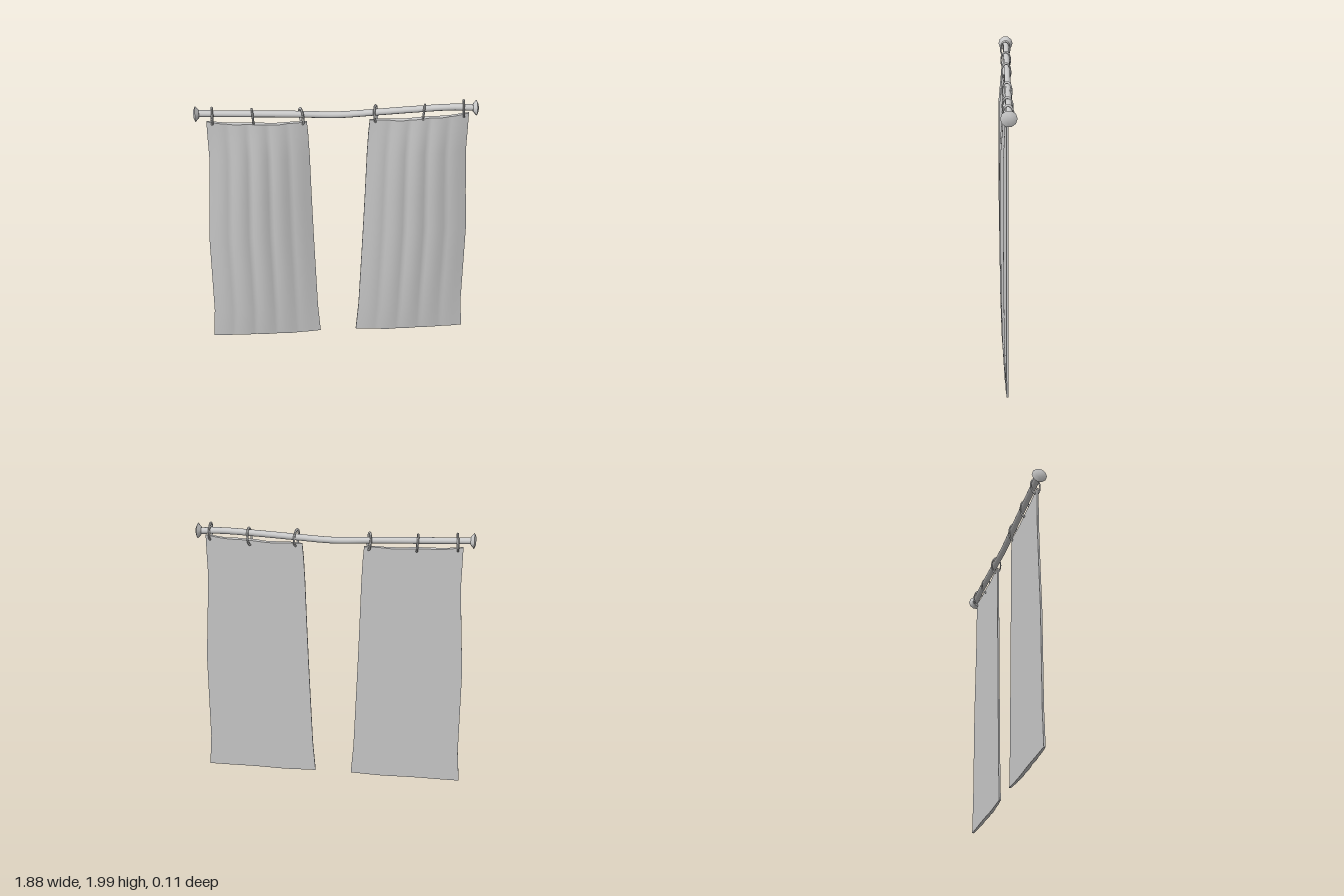
import * as THREE from 'three';
import { toCreasedNormals } from 'three/addons/utils/BufferGeometryUtils.js';

const ROD_Z = -0.006;
const material = new THREE.MeshStandardMaterial({ color: 0xcccccc });

function addMesh(parent, name, geometry) {
  const mesh = new THREE.Mesh(geometry, material);
  mesh.name = name;
  parent.add(mesh);
  return mesh;
}

// Rows of a curtain: height, outer x, inner x, fold depth
const ROWS = [
  [0.01, 0.934, 0.13, 0.024],
  [0.26, 0.914, 0.148, 0.04],
  [0.6, 0.911, 0.16, 0.05],
  [0.95, 0.908, 0.172, 0.054],
  [1.25, 0.886, 0.181, 0.054],
  [1.6, 0.863, 0.19, 0.054],
  [1.76, 0.864, 0.197, 0.04],
  [1.87, 0.864, 0.205, 0.03],
];

// Closed curtain panel: scalloped front, flat back
function curtainGeometry(side) {
  const n = 40, ring = 2 * (n + 1), pos = [], index = [];
  ROWS.forEach(([y, outer, inner, depth], j) => {
    const x0 = side < 0 ? -outer : inner;
    const x1 = side < 0 ? -inner : outer;
    for (let k = 0; k < ring; k++) {
      const front = k <= n;
      const u = front ? k / n : (ring - 1 - k) / n;
      const out = side < 0 ? 1 - u : u; // 0 at the inner edge, 1 at the outer
      const swell = Math.pow(Math.sin(Math.PI * u), 0.8);
      const fold = Math.abs(Math.sin(5 * Math.PI * u));
      let h = y;
      if (j === ROWS.length - 1) h += 0.028 * Math.pow(out - 0.35, 2) * 1.6 + 0.012 * (out - 0.5) + 0.003 * Math.sin(14 * out) - 0.004;
      if (j === 0) h += 0.004 * Math.cos(10 * out) * (1 - out);
      const z = front ? 0.01 + (depth - 0.01) * swell * (0.66 + 0.34 * fold) : -0.002;
      pos.push(x0 + (x1 - x0) * u, h, z);
    }
  });
  for (let j = 0; j < ROWS.length - 1; j++) {
    for (let k = 0; k < ring; k++) {
      const a = j * ring + k, b = j * ring + (k + 1) % ring;
      index.push(a, b, b + ring, a, b + ring, a + ring);
    }
  }
  // Top and bottom edges
  const top = (ROWS.length - 1) * ring;
  for (let i = 0; i < n; i++) {
    const f0 = i, f1 = i + 1, b0 = ring - 1 - i, b1 = ring - 2 - i;
    index.push(top + f0, top + f1, top + b1, top + f0, top + b1, top + b0);
    index.push(f0, b1, f1, f0, b0, b1);
  }
  const g = new THREE.BufferGeometry();
  g.setAttribute('position', new THREE.Float32BufferAttribute(pos, 3));
  g.setIndex(index);
  return toCreasedNormals(g, Math.PI / 4);
}

// Spinning-top shaped end knob, pointing along +x before placement
function finialGeometry() {
  const profile = [[0.0, -0.018], [0.026, -0.018], [0.053, 0.006], [0.026, 0.018], [0, 0.018]];
  const g = new THREE.LatheGeometry(profile.map(([r, y]) => new THREE.Vector2(r, y)), 10);
  g.rotateZ(-Math.PI / 2);
  return toCreasedNormals(g, Math.PI / 7);
}

// Narrow oval ring standing across the rod
function ringGeometry() {
  const g = new THREE.TorusGeometry(1, 0.15, 6, 20);
  const p = g.attributes.position;
  for (let i = 0; i < p.count; i++) {
    p.setXYZ(i, p.getZ(i) * 0.052, p.getY(i) * 0.06, -p.getX(i) * 0.034);
  }
  g.computeVertexNormals();
  return g;
}

export function createModel() {
  const model = new THREE.Group();
  model.name = 'curtains';

  // Sagging rod
  const line = [[-0.925, 1.95], [-0.6, 1.935], [-0.25, 1.919], [0, 1.905], [0.25, 1.915], [0.5, 1.927], [0.75, 1.935], [0.915, 1.926]];
  const path = new THREE.CatmullRomCurve3(line.map(([x, y]) => new THREE.Vector3(x, y, ROD_Z)));
  addMesh(model, 'rod', new THREE.TubeGeometry(path, 40, 0.022, 12));

  // End knobs
  const right = addMesh(model, 'rightFinial', finialGeometry());
  right.position.set(-0.926, 1.948, ROD_Z + 0.003);
  right.rotation.y = Math.PI;
  const left = addMesh(model, 'leftFinial', finialGeometry());
  left.position.set(0.913, 1.926, ROD_Z + 0.003);

  // Rings: x, y, tilt, turn
  const rings = [
    [-0.825, 1.93, -0.05, 0.1], [-0.56, 1.912, 0.06, 0.08], [-0.24, 1.908, 0.08, 0.35],
    [0.25, 1.908, 0.08, -0.35], [0.57, 1.9, -0.06, -0.2], [0.835, 1.924, 0.07, -0.1],
  ];
  rings.forEach(([x, y, tilt, turn], i) => {
    const ring = addMesh(model, 'ring' + (i + 1), ringGeometry());
    ring.position.set(x, y, 0);
    ring.rotation.set(0, turn, tilt);
  });

  // Curtains
  addMesh(model, 'rightCurtain', curtainGeometry(-1));
  addMesh(model, 'leftCurtain', curtainGeometry(1)).position.x = 0.006;

  return model;
}
